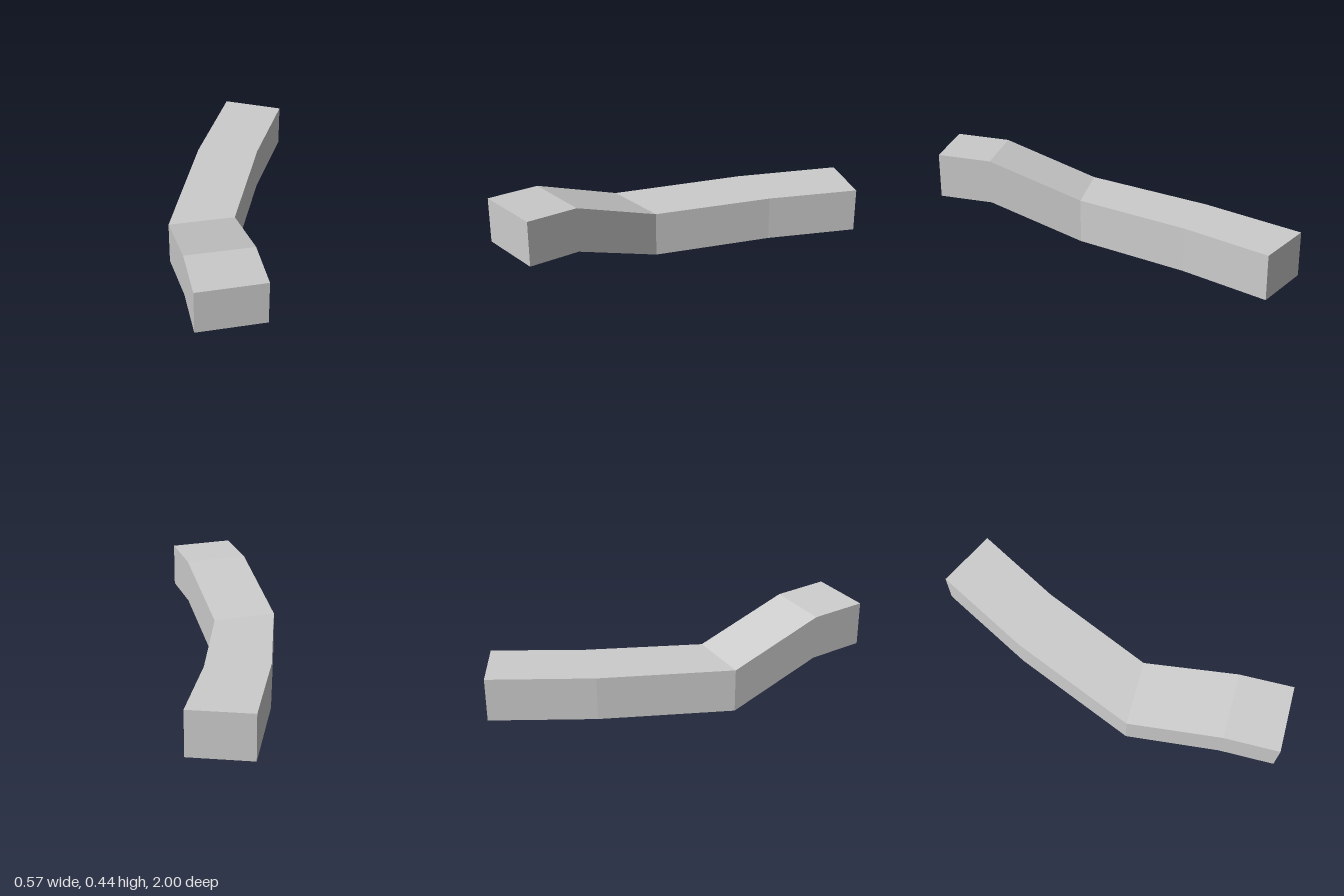
import * as THREE from 'three';

export function createModel() {
  const group = new THREE.Group();
  group.name = 'bentBeam';
  const grey = new THREE.MeshStandardMaterial({ color: 0xcccccc });
  grey.name = 'light grey';

  // Cross-sections from back to front: right x, z, left x, z, bottom y
  const height = 0.236;
  const sections = [
    [-0.035, -1, 0.284, -0.927, 0],
    [-0.175, -0.455, 0.157, -0.455, 0],
    [-0.285, 0.245, 0.05, 0.168, 0],
    [-0.172, 0.722, 0.163, 0.645, 0.187],
    [-0.107, 1, 0.228, 0.919, 0.204],
  ];
  const rings = sections.map(([rx, rz, lx, lz, y]) => [
    [rx, y, rz], [lx, y, lz], [lx, y + height, lz], [rx, y + height, rz],
  ]);

  const positions = [];
  const quad = (a, b, c, d) => positions.push(...a, ...b, ...c, ...a, ...c, ...d);

  // Four walls between neighbouring sections
  for (let i = 0; i < rings.length - 1; i++) {
    for (let j = 0; j < 4; j++) {
      const k = (j + 1) % 4;
      quad(rings[i][j], rings[i][k], rings[i + 1][k], rings[i + 1][j]);
    }
  }
  // End caps
  quad(...rings[rings.length - 1]);
  quad(...[...rings[0]].reverse());

  const geometry = new THREE.BufferGeometry();
  geometry.setAttribute('position', new THREE.Float32BufferAttribute(positions, 3));
  geometry.computeVertexNormals();

  const beam = new THREE.Mesh(geometry, grey);
  beam.name = 'beam';
  group.add(beam);
  return group;
}
